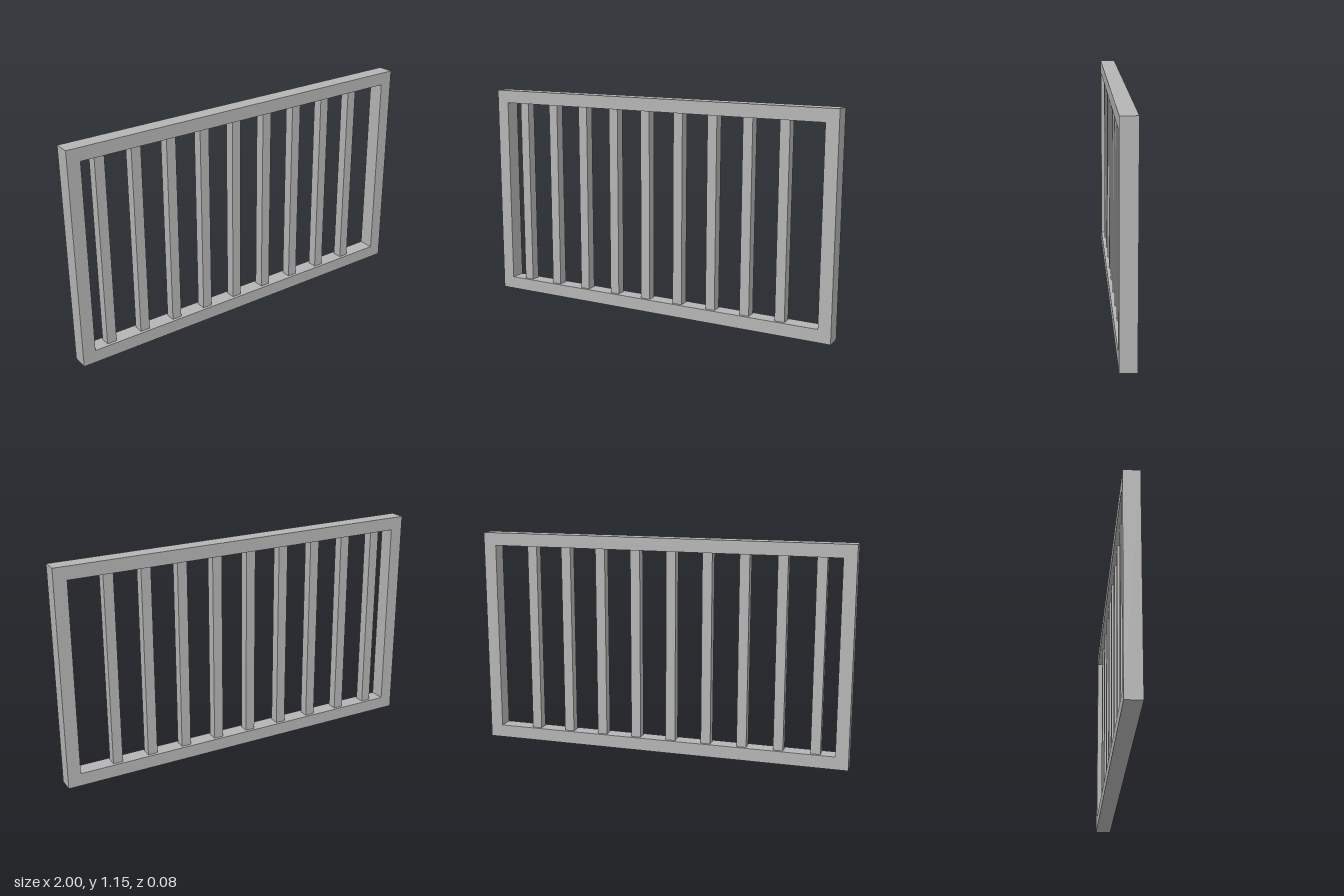
import * as THREE from 'three';

const WIDTH = 2, HEIGHT = 1.152, DEPTH = 0.084, RAIL = 0.068;
const BAR = 0.052, BAR_COUNT = 9, FIRST_BAR = -0.829, BAR_STEP = 0.1942;

export function createModel() {
  const model = new THREE.Group();
  model.name = 'railing';
  const grey = new THREE.MeshStandardMaterial({ color: 0xb4b4b4 });
  grey.name = 'grey';

  // Outer frame: one rectangle with a rectangular opening
  const outline = new THREE.Shape([
    new THREE.Vector2(-WIDTH / 2, 0),
    new THREE.Vector2(WIDTH / 2, 0),
    new THREE.Vector2(WIDTH / 2, HEIGHT),
    new THREE.Vector2(-WIDTH / 2, HEIGHT),
  ]);
  const inner = WIDTH / 2 - RAIL;
  outline.holes.push(new THREE.Path([
    new THREE.Vector2(-inner, RAIL),
    new THREE.Vector2(-inner, HEIGHT - RAIL),
    new THREE.Vector2(inner, HEIGHT - RAIL),
    new THREE.Vector2(inner, RAIL),
  ]));
  const frameGeometry = new THREE.ExtrudeGeometry(outline, { depth: DEPTH, bevelEnabled: false });
  frameGeometry.translate(0, 0, -DEPTH / 2);
  const frame = new THREE.Mesh(frameGeometry, grey);
  frame.name = 'frame';
  model.add(frame);

  // Evenly spaced square bars, set a little off centre toward the right
  const bars = new THREE.Group();
  bars.name = 'bars';
  const barGeometry = new THREE.BoxGeometry(BAR, HEIGHT - 2 * RAIL, BAR);
  for (let i = 0; i < BAR_COUNT; i++) {
    const bar = new THREE.Mesh(barGeometry, grey);
    bar.name = `bar${i + 1}`;
    bar.position.set(FIRST_BAR + i * BAR_STEP, HEIGHT / 2, 0);
    bars.add(bar);
  }
  model.add(bars);

  return model;
}
